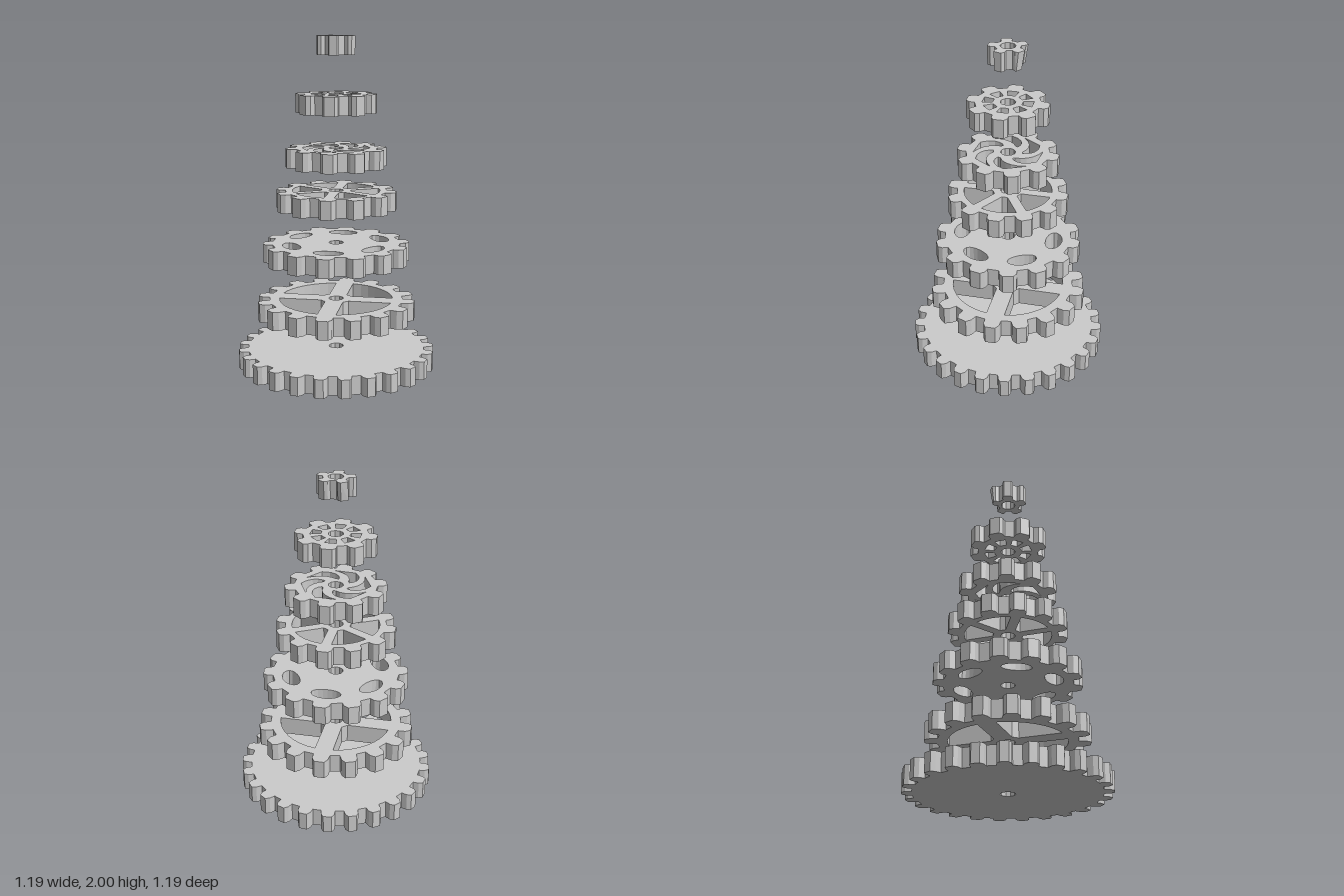
import * as THREE from 'three';

const TAU = Math.PI * 2;
const THICK = 0.112;
const BORE = 0.045;
const rad = (d) => (d * Math.PI) / 180;

// Point at radius r, angle a measured from the front (+z) towards +x
const polar = (r, a) => new THREE.Vector2(r * Math.sin(a), -r * Math.cos(a));

// Toothed outline with the first tooth at the front
function gearShape(teeth, outer, root) {
  const step = TAU / teeth;
  const mid = root + (outer - root) * 0.6;
  const profile = [[root, -0.31], [mid, -0.27], [outer, -0.16], [outer, 0.16], [mid, 0.27], [root, 0.31]];
  const pts = [];
  for (let i = 0; i < teeth; i++) {
    for (const [r, f] of profile) pts.push(polar(r, (i + f) * step));
  }
  return new THREE.Shape(pts);
}

// Round hole in the middle
function boreHole() {
  const pts = [];
  for (let i = 0; i < 10; i++) pts.push(polar(BORE, ((i + 0.5) / 10) * TAU));
  return pts;
}

// Sector window between straight spokes of a given half width
function sectorHole(a, inner, outer, halfAngle, spoke) {
  const pts = [];
  const apex = spoke / Math.sin(halfAngle);
  const tip = Math.max(inner, apex);
  const outHalf = halfAngle - Math.asin(spoke / outer);
  const inHalf = Math.max(0, halfAngle - Math.asin(spoke / tip));
  for (let i = 0; i <= 8; i++) pts.push(polar(outer, a + outHalf * (i / 4 - 1)));
  pts.push(polar(tip, a + inHalf + 0.01), polar(tip, a - inHalf - 0.01));
  return pts;
}

// Oval window lying along the rim
function ovalHole(a, r, along, across) {
  const pts = [];
  for (let i = 0; i < 16; i++) {
    const t = (i / 16) * TAU;
    pts.push(polar(r + across * Math.sin(t), a + (along * Math.cos(t)) / r));
  }
  return pts;
}

// Curved blade slot sweeping outwards
function swirlHole(a, inner, outer) {
  const lead = [], trail = [];
  for (let i = 0; i <= 5; i++) {
    const t = i / 5;
    const r = inner + (outer - inner) * t;
    lead.push(polar(r, a + rad(12 + 62 * t)));
    trail.unshift(polar(r, a + rad(36 * t * t)));
  }
  return [...lead, ...trail];
}

// Tapered window with straight sides
function trapezoidHole(a, inner, outer, halfIn, halfOut) {
  const at = (r, w) => polar(Math.hypot(r, w), a + Math.atan2(w, r));
  return [at(inner, -halfIn), at(outer, -halfOut), at(outer, halfOut), at(inner, halfIn)];
}

const repeat = (n, startDeg, make) =>
  Array.from({ length: n }, (_, i) => make(rad(startDeg) + (i / n) * TAU));

export function createModel() {
  const model = new THREE.Group();
  model.name = 'gearStack';
  const material = new THREE.MeshStandardMaterial({ color: 0xcccccc, flatShading: true });

  const gears = [
    { name: 'baseGear', y: 0, teeth: 25, outer: 0.596, root: 0.538, holes: [] },
    { name: 'fourSpokeGear', y: 0.303, teeth: 16, outer: 0.478, root: 0.405,
      holes: repeat(4, 45, (a) => sectorHole(a, 0.1, 0.345, rad(45), 0.055)) },
    { name: 'ovalWindowGear', y: 0.653, teeth: 14, outer: 0.441, root: 0.385,
      holes: repeat(6, 0, (a) => ovalHole(a, 0.285, 0.09, 0.05)) },
    { name: 'sixSpokeGear', y: 0.973, teeth: 12, outer: 0.361, root: 0.303,
      holes: repeat(6, 30, (a) => sectorHole(a, 0.09, 0.262, rad(30), 0.03)) },
    { name: 'swirlGear', y: 1.229, teeth: 10, outer: 0.301, root: 0.245,
      holes: repeat(6, 0, (a) => swirlHole(a, 0.085, 0.205)) },
    { name: 'eightWindowGear', y: 1.549, teeth: 8, outer: 0.241, root: 0.19,
      holes: repeat(8, 0, (a) => trapezoidHole(a, 0.085, 0.145, 0.022, 0.035)) },
    { name: 'topPinion', y: 1.888, teeth: 5, outer: 0.115, root: 0.075, holes: [] },
  ];

  for (const g of gears) {
    const shape = gearShape(g.teeth, g.outer, g.root);
    for (const pts of [boreHole(), ...g.holes]) shape.holes.push(new THREE.Path(pts));
    const geometry = new THREE.ExtrudeGeometry(shape, { depth: THICK, bevelEnabled: false });
    geometry.rotateX(-Math.PI / 2);

    // The pinion's rear teeth lean in towards the underside
    if (g.name === 'topPinion') {
      const p = geometry.attributes.position;
      for (let i = 0; i < p.count; i++) {
        if (p.getY(i) < 0.01 && p.getZ(i) < -0.06) p.setZ(i, p.getZ(i) * 0.84);
      }
      geometry.computeVertexNormals();
    }

    const mesh = new THREE.Mesh(geometry, material);
    mesh.name = g.name;
    mesh.position.y = g.y;
    model.add(mesh);
  }
  return model;
}
